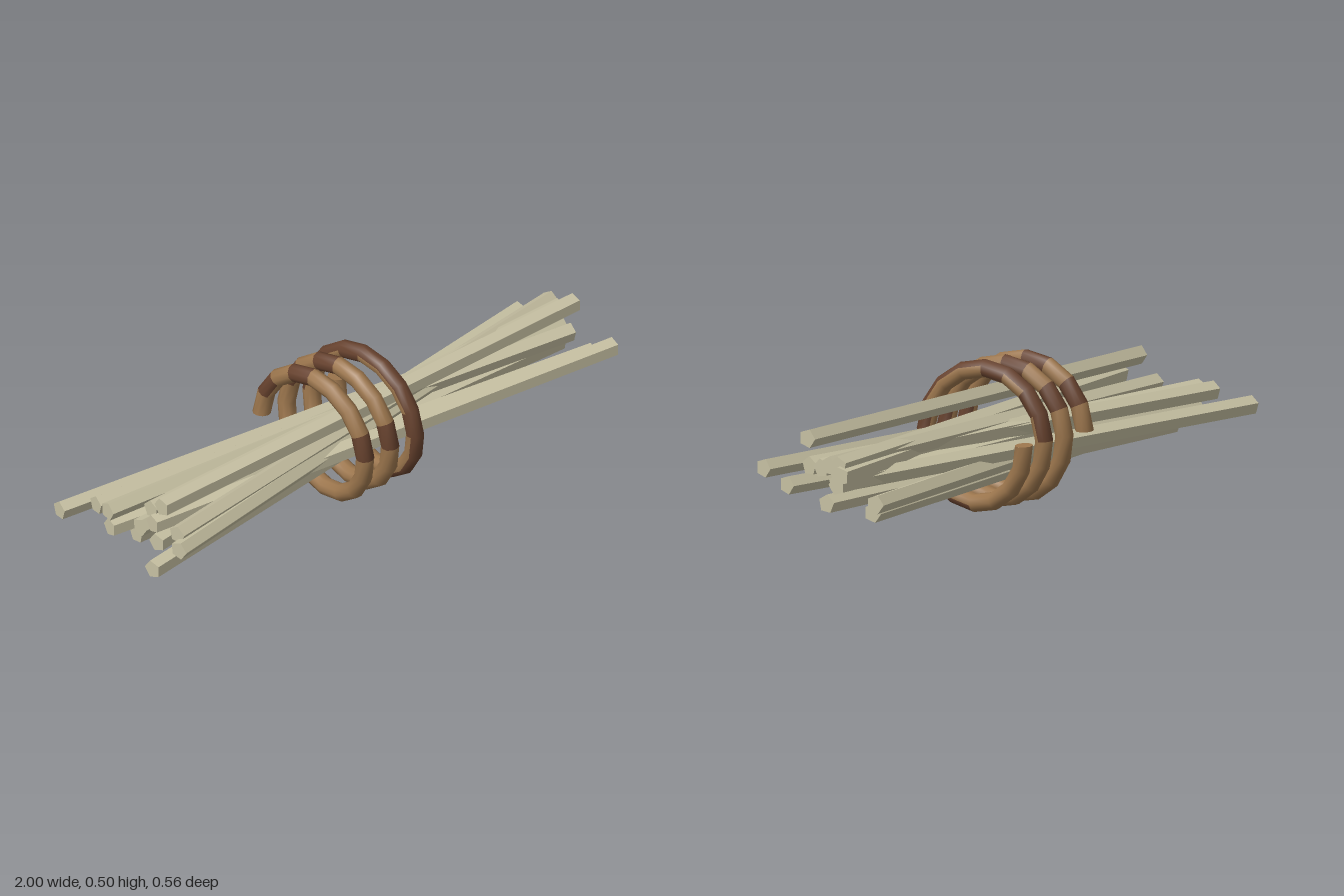
import * as THREE from 'three';

const mat = (name, color) => {
  const m = new THREE.MeshStandardMaterial({ color });
  m.name = name;
  return m;
};

// Each stick is level: [height, left x, left z, right x, right z, roll]
const STICKS = [
  [0.35, -0.90, 0.125, 0.945, 0.095, 0],
  [0.24, -0.87, 0.05, 0.975, 0.25, 0],
  [0.19, -0.93, -0.09, 0.955, 0.17, 0],
  [0.17, -0.86, 0.06, 0.98, -0.205, 0],
  [0.21, -1.0, -0.255, 0.93, -0.01, 0.3],
  [0.122, -0.93, 0.115, 0.90, -0.135, 0],
  [0.15, -0.85, -0.05, 0.975, -0.005, 0.2],
  [0.28, -0.90, 0.20, 0.98, -0.055, 0.4],
  [0.25, -0.93, 0.24, 0.995, -0.075, 0.6],
  [0.255, -0.94, -0.09, 0.93, 0.05, 0.5],
  [0.255, -0.94, -0.145, 0.92, 0.105, 0.3],
  [0.21, -0.88, 0.0, 0.96, -0.035, 0.6],
  [0.275, -0.85, 0.02, 0.97, -0.01, 0.2],
];

function makeStick([y, x0, z0, x1, z1, roll], material) {
  const dx = x1 - x0, dz = z1 - z0;
  const geo = new THREE.CylinderGeometry(0.032, 0.032, Math.hypot(dx, dz), 5).toNonIndexed();
  geo.rotateY(Math.PI + roll);
  geo.rotateZ(-Math.PI / 2);
  geo.computeVertexNormals();
  const stick = new THREE.Mesh(geo, material);
  stick.position.set((x0 + x1) / 2, y, (z0 + z1) / 2);
  stick.rotation.y = -Math.atan2(dz, dx);
  stick.name = 'stick';
  return stick;
}

// Helix about x, from the back over the top to the front, three full turns
const TURNS = 3, STEPS = 16, SIDES = 10, RADIUS = 0.218, ROPE = 0.03;
const CY = 0.248, CZ = 0.005;
class Helix extends THREE.Curve {
  getPoint(t, target = new THREE.Vector3()) {
    const a = t * TURNS * Math.PI * 2;
    return target.set(-0.148 + 0.33 * t, CY + RADIUS * Math.sin(a), CZ - RADIUS * Math.cos(a));
  }
}

function makeCoil(light, dark) {
  const coil = new THREE.Group();
  coil.name = 'bindingCoil';
  const curve = new Helix();
  const geo = new THREE.TubeGeometry(curve, TURNS * STEPS, ROPE, SIDES);

  // Bark patches: some steps of each turn, and the outside of the last turn
  const pos = geo.attributes.position, index = geo.index.array;
  const faces = [[], []];
  for (let q = 0; q < index.length; q += 6) {
    const seg = Math.floor(q / 6 / SIDES), k = seg % STEPS;
    const quad = Array.from(index.slice(q, q + 6));
    let r = 0;
    for (const i of quad) r += Math.hypot(pos.getY(i) - CY, pos.getZ(i) - CZ) / 6;
    const outer = r > RADIUS + 0.006;
    const patch = k === 1 || k === 3 || k === 7;
    const isDark = (patch && r > RADIUS - 0.022) || (seg >= 2 * STEPS && k < 12 && outer);
    faces[isDark ? 1 : 0].push(...quad);
  }
  geo.setIndex([...faces[0], ...faces[1]]);
  geo.addGroup(0, faces[0].length, 0);
  geo.addGroup(faces[0].length, faces[1].length, 1);
  const rope = new THREE.Mesh(geo, [light, dark]);
  rope.name = 'coilRope';
  coil.add(rope);

  // End discs
  for (const t of [0, 1]) {
    const cap = new THREE.Mesh(new THREE.CircleGeometry(ROPE, SIDES), light);
    const dir = curve.getTangentAt(t).multiplyScalar(t ? 1 : -1);
    cap.quaternion.setFromUnitVectors(new THREE.Vector3(0, 0, 1), dir);
    cap.position.copy(curve.getPoint(t));
    cap.name = 'coilEnd';
    coil.add(cap);
  }
  return coil;
}

export function createModel() {
  const model = new THREE.Group();
  model.name = 'stickBundle';
  const wood = mat('paleWood', 0xc6c0a2);
  wood.flatShading = false;
  const sticks = new THREE.Group();
  sticks.name = 'sticks';
  for (const s of STICKS) sticks.add(makeStick(s, wood));
  model.add(sticks, makeCoil(mat('lightBark', 0x9c764d), mat('darkBark', 0x67422e)));
  return model;
}
